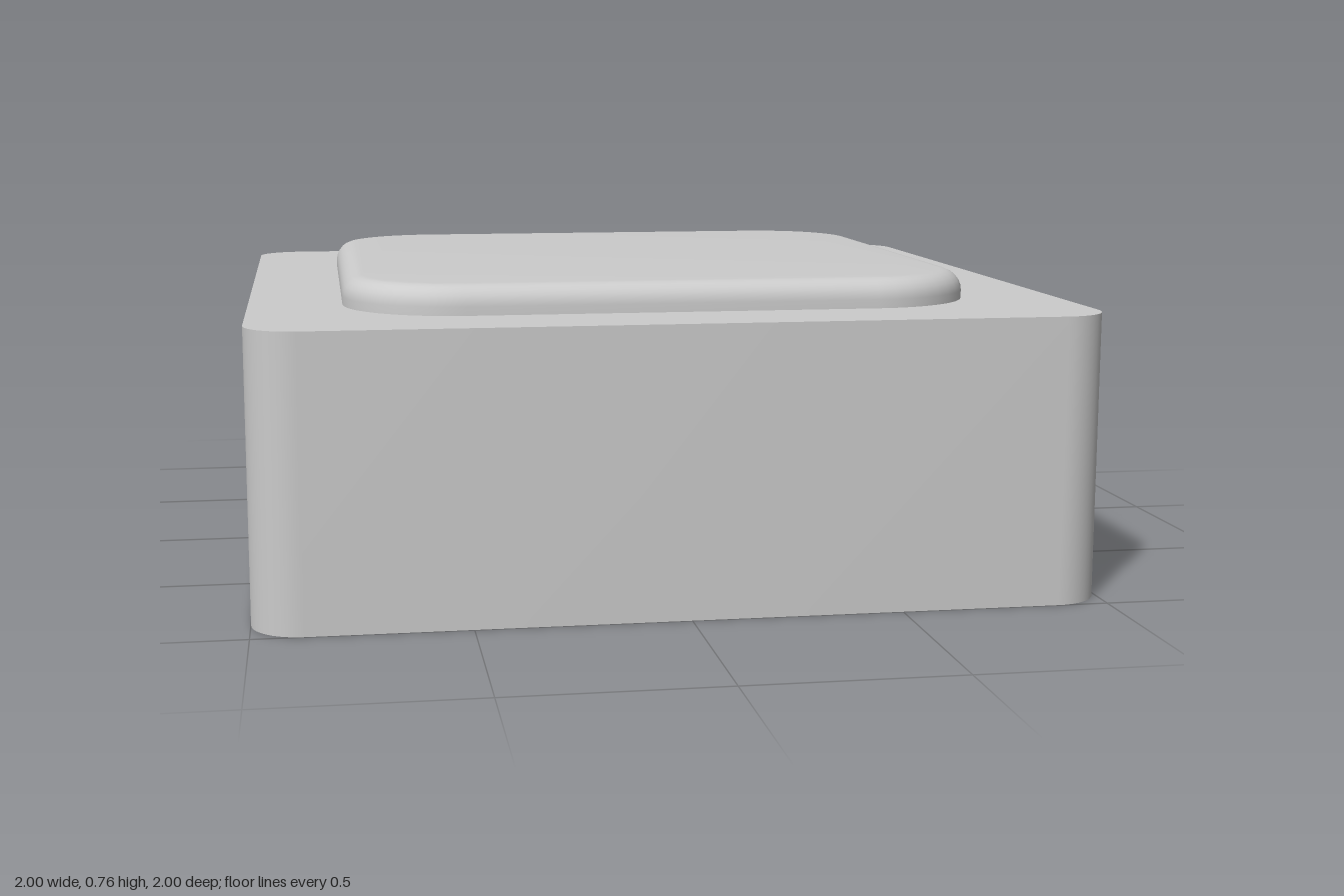
import * as THREE from 'three';
import { toCreasedNormals } from 'three/addons/utils/BufferGeometryUtils.js';

const material = new THREE.MeshStandardMaterial({ color: 0xcccccc });

// Square outline with rounded corners, counter-clockwise, half-width h, radius r
function roundedSquare(h, r, steps = 10) {
  const points = [];
  for (let corner = 0; corner < 4; corner++) {
    const mid = Math.PI / 4 + corner * Math.PI / 2;
    const cx = Math.sign(Math.cos(mid)) * (h - r);
    const cy = Math.sign(Math.sin(mid)) * (h - r);
    for (let i = 0; i <= steps; i++) {
      const a = (corner + i / steps) * Math.PI / 2;
      points.push(new THREE.Vector2(cx + r * Math.cos(a), cy + r * Math.sin(a)));
    }
  }
  return points;
}

// Skin a series of rounded-square rings given as [halfWidth, radius, y]
function loft(rings) {
  const position = [], index = [];
  const n = roundedSquare(1, 0.1).length;
  for (const [h, r, y] of rings) {
    for (const p of roundedSquare(h, r)) position.push(p.x, y, -p.y);
  }
  for (let k = 0; k < rings.length - 1; k++) {
    for (let i = 0; i < n; i++) {
      const j = (i + 1) % n;
      const a = k * n + i, b = k * n + j, c = b + n, d = a + n;
      if (rings[k][0] > 0) index.push(a, b, c);
      if (rings[k + 1][0] > 0) index.push(a, c, d);
    }
  }
  const geometry = new THREE.BufferGeometry();
  geometry.setAttribute('position', new THREE.Float32BufferAttribute(position, 3));
  geometry.setIndex(index);
  return geometry;
}

// Octagon with softened corners
function softOctagon(apothem, trim) {
  const shape = new THREE.Shape();
  const R = apothem / Math.cos(Math.PI / 8);
  const vertex = (i) => {
    const a = Math.PI / 8 + i * Math.PI / 4;
    return new THREE.Vector2(R * Math.cos(a), R * Math.sin(a));
  };
  for (let i = 0; i < 8; i++) {
    const v = vertex(i);
    const start = v.clone().lerp(vertex(i - 1), trim);
    const end = v.clone().lerp(vertex(i + 1), trim);
    if (i === 0) shape.moveTo(start.x, start.y);
    else shape.lineTo(start.x, start.y);
    shape.quadraticCurveTo(v.x, v.y, end.x, end.y);
  }
  shape.closePath();
  return shape;
}

// Plus-shaped outline with arm half-length l and half-width w
function crossPath(l, w) {
  const points = [];
  for (let q = 0; q < 4; q++) {
    for (const [x, y] of [[l, -w], [l, w], [w, w]]) {
      points.push(new THREE.Vector2(x, y).rotateAround(new THREE.Vector2(), q * Math.PI / 2));
    }
  }
  return new THREE.Path(points);
}

function extrudeUp(shape, options, y) {
  return new THREE.ExtrudeGeometry(shape, options).rotateX(-Math.PI / 2).translate(0, y, 0);
}

export function createModel() {
  const model = new THREE.Group();
  model.name = 'keycap';

  function add(name, geometry, crease = 0.5) {
    const mesh = new THREE.Mesh(toCreasedNormals(geometry, crease), material);
    mesh.name = name;
    model.add(mesh);
  }

  // Hollow shell: ceiling, inner wall, chamfered rim, outer wall, top
  add('shell', loft([
    [0, 0, 0.465],
    [0.825, 0.1, 0.465],
    [0.825, 0.1, 0.045],
    [0.87, 0.13, 0],
    [1, 0.12, 0],
    [1, 0.12, 0.686],
    [0, 0, 0.686],
  ]));

  // Raised pad with a rounded top edge, sunk into the shell's top
  add('topPad', extrudeUp(new THREE.Shape(roundedSquare(0.773, 0.28)), {
    depth: 0.1, bevelThickness: 0.05, bevelSize: 0.05, bevelOffset: -0.05, bevelSegments: 6,
  }, 0.607));

  // Stem under the ceiling with its cross socket
  const stem = softOctagon(0.345, 0.22);
  stem.holes.push(crossPath(0.25, 0.1));
  add('stem', extrudeUp(stem, { depth: 0.475, bevelEnabled: false, curveSegments: 5 }, 0));

  return model;
}
